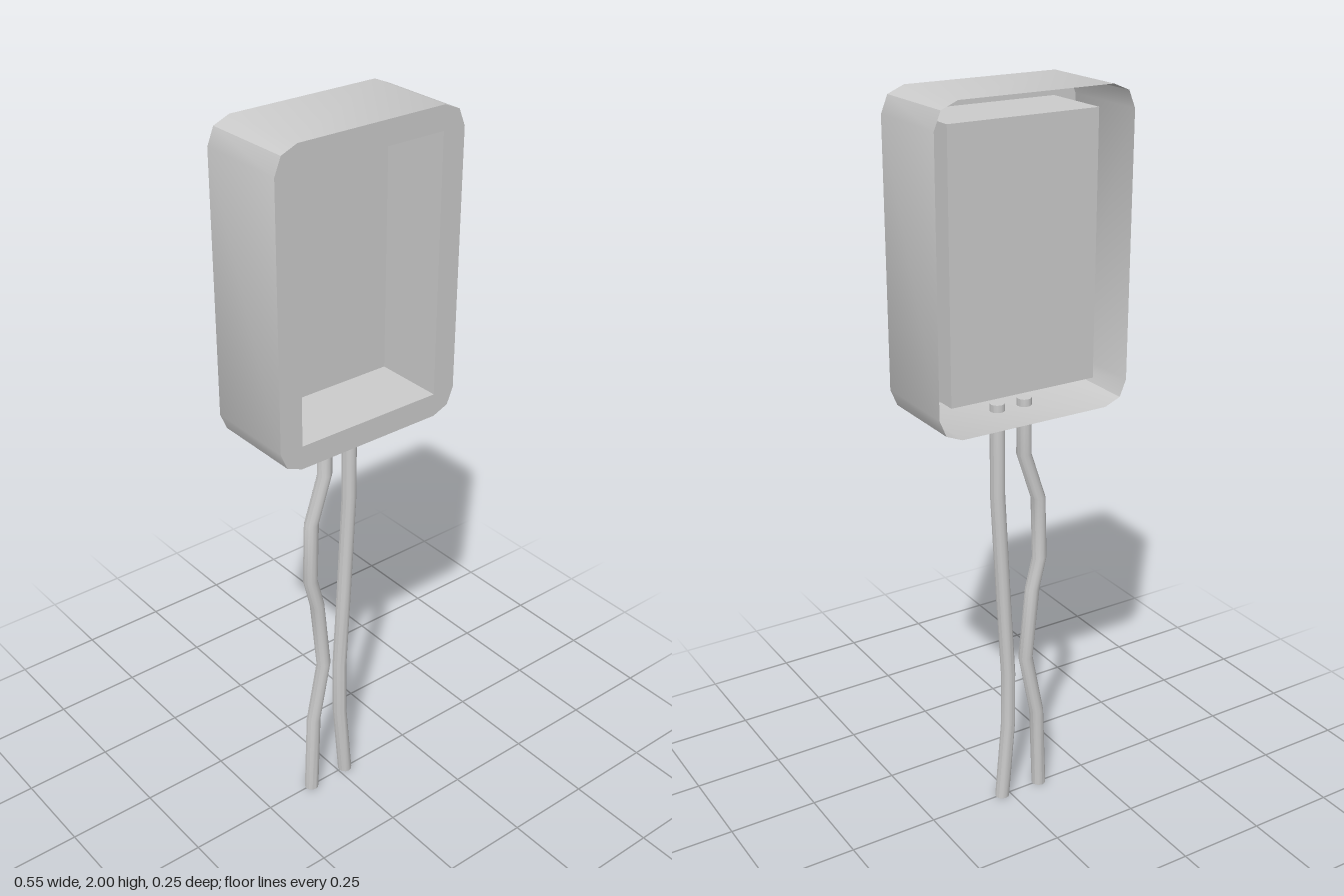
import * as THREE from 'three';
import { toCreasedNormals, mergeVertices } from 'three/addons/utils/BufferGeometryUtils.js';

const material = new THREE.MeshStandardMaterial({ color: 0xcccccc, side: THREE.DoubleSide });

const HALF_W = 0.275, BOTTOM = 1.187, TOP = 2, HALF_D = 0.126, RADIUS = 0.063;
const PANEL_Z = -0.07;

// Counter-clockwise rounded outline of the case, two segments per corner
function caseOutline() {
  const points = [];
  const corners = [
    [HALF_W - RADIUS, BOTTOM + RADIUS, -0.5],
    [HALF_W - RADIUS, TOP - RADIUS, 0],
    [-HALF_W + RADIUS, TOP - RADIUS, 0.5],
    [-HALF_W + RADIUS, BOTTOM + RADIUS, 1],
  ];
  for (const [x, y, start] of corners) {
    for (let i = 0; i <= 2; i++) {
      const a = (start + i * 0.25) * Math.PI;
      points.push(new THREE.Vector2(x + RADIUS * Math.cos(a), y + RADIUS * Math.sin(a)));
    }
  }
  return points;
}

// Open band of wall that follows a closed outline from zBack to zFront
function wall(outline, zBack, zFront) {
  const position = [], index = [];
  const n = outline.length;
  outline.forEach((p, i) => {
    position.push(p.x, p.y, zBack, p.x, p.y, zFront);
    const a = 2 * i, b = 2 * ((i + 1) % n);
    index.push(a, b, b + 1, a, b + 1, a + 1);
  });
  const geometry = new THREE.BufferGeometry();
  geometry.setAttribute('position', new THREE.Float32BufferAttribute(position, 3));
  geometry.setIndex(index);
  return toCreasedNormals(geometry, Math.PI / 6);
}

// Capped round wire whose rings are moved onto a list of [x, y] centres, top first
function wire(centres, radius) {
  const rows = centres.length - 1;
  const geometry = new THREE.CylinderGeometry(radius, radius, 1, 12, rows);
  const pos = geometry.attributes.position;
  for (let i = 0; i < pos.count; i++) {
    const [x, y] = centres[Math.round((0.5 - pos.getY(i)) * rows)];
    pos.setX(i, pos.getX(i) + x);
    pos.setY(i, y);
  }
  geometry.deleteAttribute('normal');
  geometry.deleteAttribute('uv');
  return toCreasedNormals(mergeVertices(geometry), Math.PI / 4.5);
}

export function createModel() {
  const group = new THREE.Group();
  const add = (name, geometry) => {
    const mesh = new THREE.Mesh(geometry, material);
    mesh.name = name;
    group.add(mesh);
    return mesh;
  };

  const outline = caseOutline();
  const x = HALF_W - 0.065, y0 = BOTTOM + 0.063, y1 = TOP - 0.062;
  const opening = [[-x, y0], [x, y0], [x, y1], [-x, y1]].map(p => new THREE.Vector2(...p));

  // Thin case, open at the back
  add('caseWall', wall(outline, -HALF_D, HALF_D));

  // Front rim around the recess
  const rim = new THREE.Shape(outline);
  rim.holes.push(new THREE.Path(opening));
  add('frontRim', new THREE.ShapeGeometry(rim)).position.z = HALF_D;

  // Deep recess closed by a panel
  add('recessWall', wall(opening, PANEL_Z, HALF_D));
  add('recessPanel', new THREE.ShapeGeometry(new THREE.Shape(opening))).position.z = PANEL_Z;

  // Two bent wires poking through the case floor
  add('rightWire', wire([
    [-0.045, 1.207], [-0.045, 1.05], [-0.09, 0.915], [-0.096, 0.735],
    [-0.074, 0.645], [-0.053, 0.434], [-0.09, 0.25], [-0.1, 0],
  ], 0.02));
  add('leftWire', wire([
    [0.036, 1.207], [0.036, 0.95], [0.02, 0.66], [0.004, 0.4], [0.004, 0.24], [0.024, 0],
  ], 0.02));

  return group;
}
